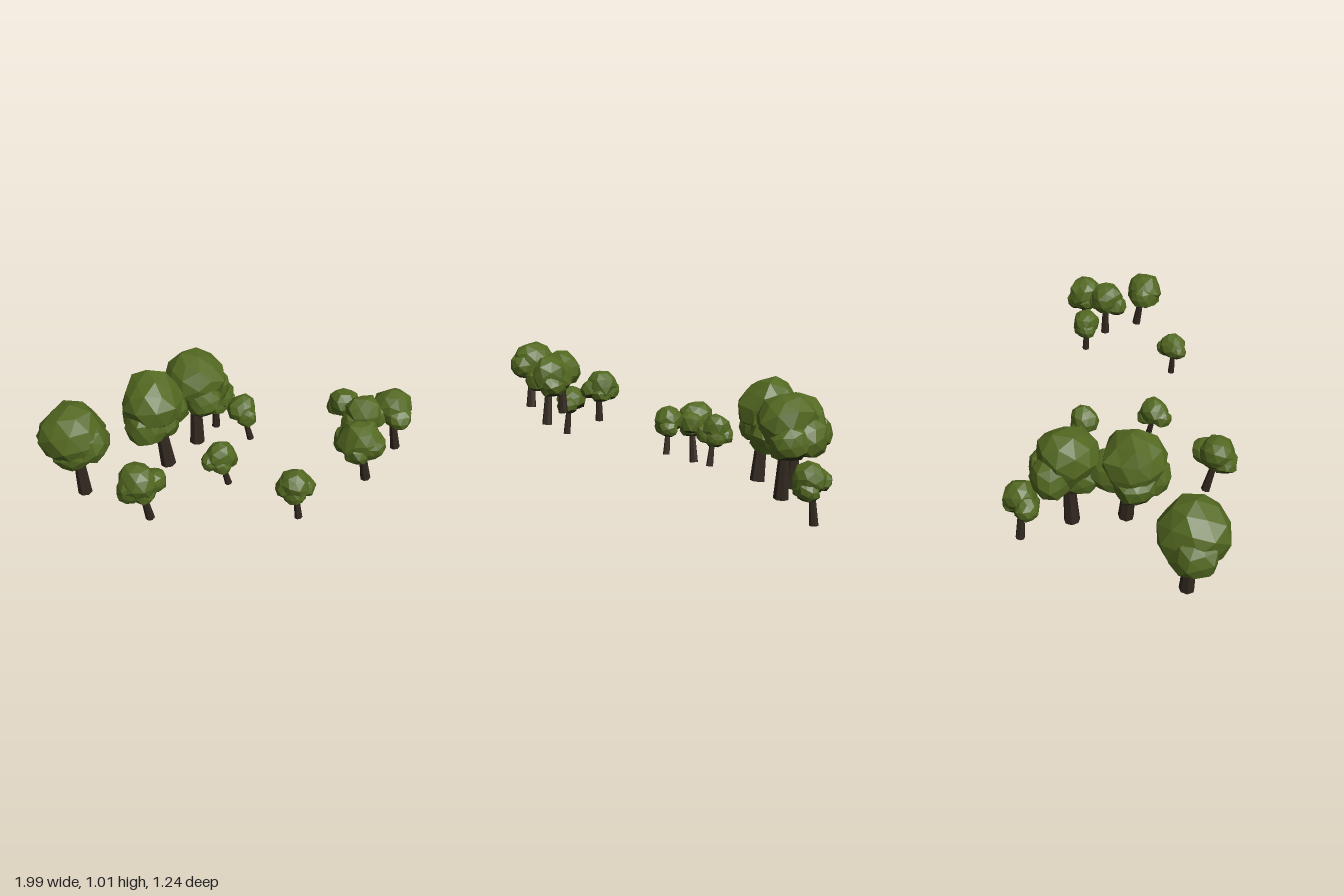
import * as THREE from 'three';

function flatMaterial(name, color) {
  const material = new THREE.MeshStandardMaterial({ color, flatShading: true });
  material.name = name;
  return material;
}
const foliage = flatMaterial('leafGreen', 0x536921);
const shade = flatMaterial('undersideOlive', 0x2f3416);
const bark = flatMaterial('barkBrown', 0x31281f);

// Small seeded generator
let seed = 7;
function rand() {
  seed = (seed * 16807) % 2147483647;
  return seed / 2147483647;
}

// Irregular faceted clump of leaves with a flattened, darker underside
function clump(name, x, y, z, r) {
  const geo = new THREE.IcosahedronGeometry(r, 1);
  geo.rotateX(rand() * 6).rotateY(rand() * 6);
  const pos = geo.attributes.position;
  const v = new THREE.Vector3();
  const offsets = new Map();
  for (let i = 0; i < pos.count; i++) {
    v.fromBufferAttribute(pos, i);
    const key = v.toArray().map((n) => Math.round((n / r) * 100) + 0).join();
    if (!offsets.has(key)) offsets.set(key, 0.9 + rand() * 0.2);
    v.multiplyScalar(offsets.get(key));
    pos.setXYZ(i, v.x, Math.max(v.y, -0.72 * r), v.z);
  }
  geo.computeVertexNormals();
  // Faces that look downward take the underside colour
  for (let i = 0; i < pos.count; i += 3) {
    geo.addGroup(i, 3, geo.attributes.normal.getY(i) < -0.6 ? 1 : 0);
  }
  const mesh = new THREE.Mesh(geo, [foliage, shade]);
  mesh.name = name;
  mesh.position.set(x, y, z);
  return mesh;
}

// Tapered trunk leaning from its base to a point inside the crown
function trunk(base, top, r) {
  const a = new THREE.Vector3(...base);
  const d = new THREE.Vector3(...top).sub(a);
  const length = d.length() * 1.2;
  const geo = new THREE.CylinderGeometry(r * 0.58, r, length, 7);
  geo.translate(0, length / 2, 0);
  const mesh = new THREE.Mesh(geo, bark);
  mesh.name = 'trunk';
  mesh.position.copy(a);
  mesh.quaternion.setFromUnitVectors(new THREE.Vector3(0, 1, 0), d.normalize());
  return mesh;
}

export function createModel() {
  seed = 7;
  const model = new THREE.Group();
  model.name = 'grove';

  // A tree: trunk base, trunk top, trunk radius, then main clump and side clumps (x, y, z, r)
  function tree(name, base, top, r, main, ...lobes) {
    const group = new THREE.Group();
    group.name = name;
    group.add(trunk(base, top, r), clump('crown', ...main));
    for (const lobe of lobes) group.add(clump('crownLobe', ...lobe));
    model.add(group);
  }

  // Three large trees
  tree('largeTreeRight', [-0.74, 0.005, 0.2], [-0.765, 0.3, 0.205], 0.041,
    [-0.785, 0.395, 0.205, 0.182], [-0.88, 0.335, 0.18, 0.12], [-0.69, 0.36, 0.2, 0.12],
    [-0.76, 0.32, 0.26, 0.11], [-0.78, 0.33, 0.15, 0.11]);
  tree('largeTreeMiddle', [-0.31, 0.18, 0], [-0.355, 0.48, 0.01], 0.043,
    [-0.395, 0.58, 0.01, 0.168], [-0.385, 0.48, 0.09, 0.115], [-0.35, 0.51, -0.08, 0.125],
    [-0.45, 0.48, 0, 0.11], [-0.32, 0.49, 0.03, 0.1]);
  tree('largeTreeBack', [-0.25, 0.16, -0.275], [-0.26, 0.46, -0.29], 0.043,
    [-0.265, 0.57, -0.295, 0.163], [-0.32, 0.5, -0.385, 0.12], [-0.195, 0.49, -0.23, 0.1],
    [-0.205, 0.49, -0.385, 0.105], [-0.31, 0.48, -0.25, 0.1]);

  // Medium trees
  tree('mediumTreeBack', [-0.24, 0.09, -0.55], [-0.235, 0.27, -0.535], 0.025,
    [-0.215, 0.335, -0.535, 0.09], [-0.295, 0.31, -0.515, 0.068], [-0.185, 0.285, -0.56, 0.062],
    [-0.21, 0.285, -0.495, 0.064]);
  tree('mediumTreeFront', [-0.21, 0.195, 0.47], [-0.225, 0.37, 0.507], 0.025,
    [-0.25, 0.45, 0.505, 0.1], [-0.19, 0.435, 0.46, 0.072], [-0.28, 0.41, 0.54, 0.072],
    [-0.225, 0.4, 0.515, 0.072]);
  tree('hilltopTreeFront', [0.86, 0.69, 0.375], [0.837, 0.85, 0.395], 0.024,
    [0.82, 0.915, 0.405, 0.098], [0.77, 0.895, 0.39, 0.072], [0.87, 0.895, 0.4, 0.072],
    [0.825, 0.875, 0.44, 0.064]);
  tree('hilltopTreeMiddle', [0.79, 0.69, 0.165], [0.79, 0.84, 0.168], 0.024,
    [0.78, 0.905, 0.175, 0.09], [0.825, 0.88, 0.14, 0.064], [0.755, 0.87, 0.22, 0.064],
    [0.8, 0.87, 0.215, 0.064]);
  tree('hilltopTreeLeft', [0.93, 0.67, 0.063], [0.905, 0.84, 0.08], 0.024,
    [0.895, 0.9, 0.07, 0.092], [0.94, 0.875, 0.115, 0.062], [0.86, 0.87, 0.07, 0.062],
    [0.91, 0.86, 0.035, 0.062]);

  // Small trees
  tree('hilltopTreeSmall', [0.67, 0.66, 0.02], [0.665, 0.8, 0.025], 0.019,
    [0.65, 0.835, 0.02, 0.073], [0.695, 0.815, 0.04, 0.053], [0.62, 0.805, 0.01, 0.053],
    [0.665, 0.8, 0.005, 0.053]);
  tree('slopeTreeSmall', [0.59, 0.48, 0.515], [0.572, 0.62, 0.518], 0.019,
    [0.56, 0.668, 0.51, 0.075], [0.6, 0.645, 0.48, 0.054], [0.53, 0.65, 0.525, 0.054],
    [0.57, 0.63, 0.53, 0.054]);
  tree('centreTreeFront', [0.135, 0.35, 0.24], [0.108, 0.48, 0.262], 0.019,
    [0.1, 0.535, 0.265, 0.076], [0.06, 0.51, 0.295, 0.053], [0.125, 0.495, 0.23, 0.053],
    [0.115, 0.495, 0.29, 0.053]);
  tree('centreTreeBack', [0.12, 0.37, -0.14], [0.09, 0.5, -0.125], 0.019,
    [0.07, 0.56, -0.13, 0.076], [0.11, 0.53, -0.1, 0.054], [0.045, 0.53, -0.155, 0.054],
    [0.09, 0.515, -0.15, 0.054]);

  return model;
}
